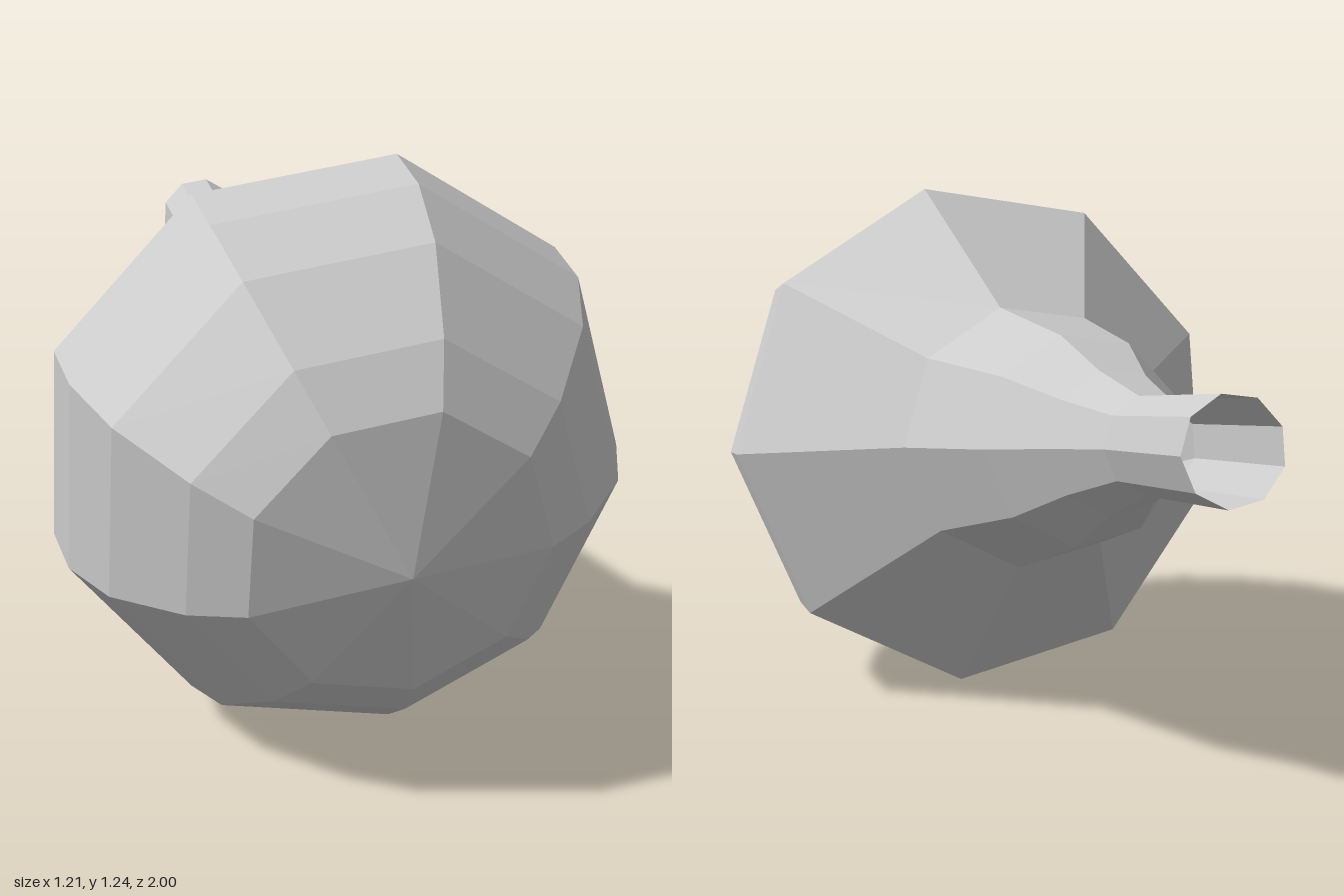
import * as THREE from 'three';

export function createModel() {
  const group = new THREE.Group();

  // Axis of the bulb, from its rounded nose to the open end of the neck
  const nose = new THREE.Vector3(-0.175, 0.525, 0.975);
  const mouth = new THREE.Vector3(0.375, 0.855, -0.97);
  const axis = mouth.clone().sub(nose).normalize();

  // Profile: [radius, distance along the axis]
  const profile = [
    [0, 0], [0.31, 0.077], [0.42, 0.16], [0.552, 0.318], [0.617, 0.475], [0.63, 0.63], // round head
    [0.31, 0.985], [0.233, 1.333], [0.153, 1.505], [0.1, 1.68], [0.105, 2.048],        // shoulder and neck
  ].map(([r, s]) => new THREE.Vector2(r, s));
  const geometry = new THREE.LatheGeometry(profile, 9);

  // Lay the lathe along the axis, with one of its nine ridges through a point on the widest ring
  const ridge = new THREE.Vector3(0.6, 0.62, 0.545).sub(nose);
  ridge.addScaledVector(axis, -ridge.dot(axis)).normalize();
  const side = new THREE.Vector3().crossVectors(axis, ridge);
  geometry.applyMatrix4(new THREE.Matrix4().makeBasis(side, axis, ridge).setPosition(nose));

  // Centre it and stand it on the ground
  geometry.computeBoundingBox();
  const { min, max } = geometry.boundingBox;
  geometry.translate(-(min.x + max.x) / 2, -min.y, -(min.z + max.z) / 2);

  const bulb = new THREE.Mesh(geometry, new THREE.MeshStandardMaterial({
    color: 0xcccccc, flatShading: true, side: THREE.DoubleSide,
  }));
  bulb.name = 'bulbWithOpenNeck';
  group.add(bulb);
  return group;
}
